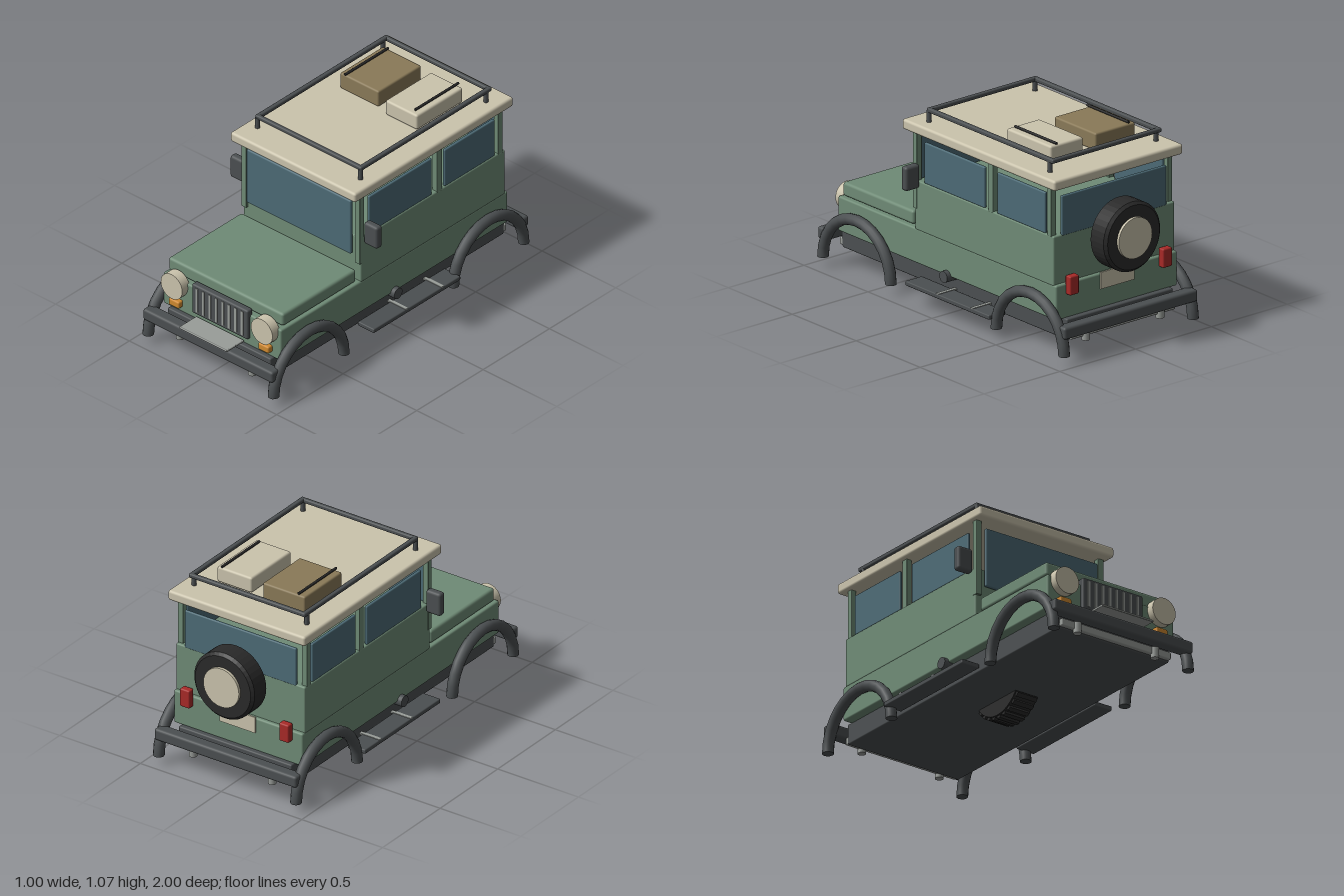
import * as THREE from 'three';
import { RoundedBoxGeometry } from 'three/addons/geometries/RoundedBoxGeometry.js';

const paint = (name, color) => {
  const m = new THREE.MeshStandardMaterial({ color });
  m.name = name;
  return m;
};

export function createModel() {
  const green = paint('body green', 0x6f8b76);
  const cream = paint('cream', 0xcbc4ad);
  const glass = paint('window glass', 0x4d6b76);
  const dark = paint('dark grey trim', 0x4b4f51);
  const rubber = paint('tyre rubber', 0x2a2a2a);
  const metal = paint('light metal', 0x999d99);
  const brown = paint('brown leather', 0x8a7a58);
  const orange = paint('indicator orange', 0xd08a30);
  const red = paint('tail light red', 0xa82a28);

  const car = new THREE.Group();
  car.name = 'offRoadCar';

  const add = (name, geometry, material, x = 0, y = 0, z = 0, parent = car) => {
    const mesh = new THREE.Mesh(geometry, material);
    mesh.name = name;
    mesh.position.set(x, y, z);
    parent.add(mesh);
    return mesh;
  };
  // Box given by its extents; r > 0 rounds the edges
  const box = (name, material, [x0, x1], [y0, y1], [z0, z1], r = 0) => {
    const s = [x1 - x0, y1 - y0, z1 - z0];
    const geometry = r ? new RoundedBoxGeometry(...s, 2, r) : new THREE.BoxGeometry(...s);
    return add(name, geometry, material, (x0 + x1) / 2, (y0 + y1) / 2, (z0 + z1) / 2);
  };
  // Same box on both sides of the car
  const pair = (name, material, [x0, x1], y, z, r = 0) => {
    box(name + 'Left', material, [x0, x1], y, z, r);
    box(name + 'Right', material, [-x1, -x0], y, z, r);
  };
  const cylinder = (name, material, radius, length, axis, x, y, z, sides = 32) => {
    const geometry = new THREE.CylinderGeometry(radius, radius, length, sides);
    if (axis === 'x') geometry.rotateZ(Math.PI / 2);
    if (axis === 'z') geometry.rotateX(Math.PI / 2);
    return add(name, geometry, material, x, y, z);
  };

  // Chassis and body shell
  box('chassis', dark, [-0.35, 0.35], [0.097, 0.21], [-0.88, 0.88], 0.008);
  box('lowerBody', green, [-0.4, 0.4], [0.205, 0.392], [-0.853, 0.855], 0.01);
  box('cabinBody', green, [-0.4, 0.4], [0.385, 0.652], [-0.833, 0.253], 0.008);
  box('hood', green, [-0.39, 0.39], [0.398, 0.473], [0.277, 0.83], 0.015);
  box('roof', cream, [-0.425, 0.425], [0.91, 0.966], [-0.87, 0.325], 0.014);

  // Pillars and windows
  pair('frontPillar', green, [0.368, 0.403], [0.5, 0.915], [0.233, 0.266], 0.004);
  pair('middlePillar', green, [0.368, 0.4], [0.645, 0.915], [-0.358, -0.32], 0.004);
  pair('rearPillar', green, [0.368, 0.4], [0.645, 0.915], [-0.815, -0.782], 0.004);
  box('windscreen', glass, [-0.354, 0.354], [0.55, 0.872], [0.262, 0.282], 0.008);
  box('rearWindow', glass, [-0.345, 0.345], [0.645, 0.86], [-0.835, -0.818], 0.006);
  pair('frontSideWindow', glass, [0.378, 0.396], [0.65, 0.87], [-0.287, 0.185], 0.006);
  pair('rearSideWindow', glass, [0.378, 0.396], [0.65, 0.87], [-0.76, -0.384], 0.006);
  pair('mirror', dark, [0.408, 0.5], [0.622, 0.752], [0.2, 0.245], 0.015);

  // Grille with eight slats
  box('grille', dark, [-0.19, 0.19], [0.25, 0.425], [0.835, 0.875], 0.01);
  for (let i = 0; i < 8; i++) {
    const x = -0.154 + i * 0.044;
    box('grilleSlat', metal, [x - 0.007, x + 0.007], [0.268, 0.41], [0.87, 0.879]);
  }

  // Lights
  for (const s of [-1, 1]) {
    cylinder('headlight', cream, 0.073, 0.055, 'z', s * 0.306, 0.366, 0.87);
    box('indicator', orange, [s * 0.304 - 0.036, s * 0.304 + 0.036], [0.237, 0.277], [0.845, 0.885], 0.009);
    box('tailLight', red, [s * 0.307 - 0.03, s * 0.307 + 0.03], [0.335, 0.437], [-0.889, -0.848], 0.008);
  }

  // Bumpers, cross bars, tow posts and winch plate
  for (const s of [-1, 1]) {
    const z = (a, b) => (s > 0 ? [a, b] : [-b, -a]);
    box(s > 0 ? 'frontBumper' : 'rearBumper', dark, [-0.44, 0.44], [0.142, 0.207], z(0.9, 0.968), 0.014);
    box('crossBar', metal, [-0.345, 0.345], [0.105, 0.145], z(0.878, 0.905), 0.006);
    for (const x of [-0.245, 0.245]) {
      cylinder('towPost', metal, 0.022, 0.06, 'y', x, 0.114, s * 0.9, 16);
    }
  }
  box('winchPlate', metal, [-0.162, 0.162], [0.226, 0.238], [0.87, 1.0], 0.004);

  // Wheel arch tubes
  for (const x of [-0.425, 0.425]) {
    for (const z of [-0.68, 0.675]) {
      const arch = new THREE.Group();
      arch.name = 'wheelArch';
      arch.position.set(x, 0.05, z);
      arch.rotation.y = Math.PI / 2;
      add('archTube', new THREE.TorusGeometry(0.265, 0.03, 12, 14, Math.PI), dark, 0, 0, 0, arch);
      for (const end of [-1, 1]) {
        const cap = add('archEnd', new THREE.CircleGeometry(0.03, 12), dark, end * 0.265, 0, 0, arch);
        cap.rotation.x = Math.PI / 2;
      }
      car.add(arch);
    }
  }

  // Side steps on brackets
  pair('sideStep', dark, [0.365, 0.475], [0.103, 0.128], [-0.415, 0.24], 0.006);
  for (const z of [-0.28, -0.01]) {
    pair('stepBracket', metal, [0.34, 0.474], [0.122, 0.131], [z - 0.01, z + 0.01]);
  }

  // Central axle and lugged wheel below the chassis
  cylinder('axle', dark, 0.031, 0.85, 'x', 0, 0.205, 0, 20);
  cylinder('centreWheel', rubber, 0.185, 0.14, 'x', 0, 0.2, 0, 40);
  for (let i = 0; i < 28; i++) {
    const a = (i / 28) * Math.PI * 2;
    const lug = add('tyreLug', new THREE.BoxGeometry(0.124, 0.025, 0.024), rubber,
      0, 0.2 + Math.cos(a) * 0.187, Math.sin(a) * 0.187);
    lug.rotation.x = a;
  }

  // Spare wheel and rear plate
  const tyreProfile = [[0, -0.065], [0.172, -0.065], [0.187, -0.05], [0.187, 0.05], [0.172, 0.065], [0, 0.065]]
    .map(([r, h]) => new THREE.Vector2(r, h));
  const tyre = new THREE.LatheGeometry(tyreProfile, 40).toNonIndexed();
  tyre.computeVertexNormals();
  tyre.rotateX(Math.PI / 2);
  add('spareTyre', tyre, rubber, 0, 0.598, -0.92);
  cylinder('spareHub', cream, 0.11, 0.03, 'z', 0, 0.598, -0.985);
  box('rearPlate', cream, [-0.11, 0.11], [0.31, 0.4], [-0.861, -0.852]);

  // Roof rack
  pair('rackSideRail', dark, [0.336, 0.361], [1.018, 1.042], [-0.78, 0.21], 0.008);
  for (const z of [-0.767, 0.197]) {
    box('rackCrossRail', dark, [-0.36, 0.36], [1.018, 1.042], [z - 0.012, z + 0.012], 0.008);
  }
  for (const x of [-0.349, 0.349]) {
    for (const z of [-0.745, 0.2]) {
      cylinder('rackPost', dark, 0.013, 0.07, 'y', x, 0.993, z, 12);
    }
  }

  // Luggage with straps
  box('brownCase', brown, [-0.28, -0.018], [0.966, 1.06], [-0.666, -0.342], 0.01);
  box('creamCase', cream, [0.055, 0.271], [0.97, 1.058], [-0.658, -0.312], 0.012);
  for (const x of [-0.24, 0.236]) {
    cylinder('caseStrap', rubber, 0.007, 0.325, 'z', x, 1.068, -0.5, 10);
  }

  return car;
}
